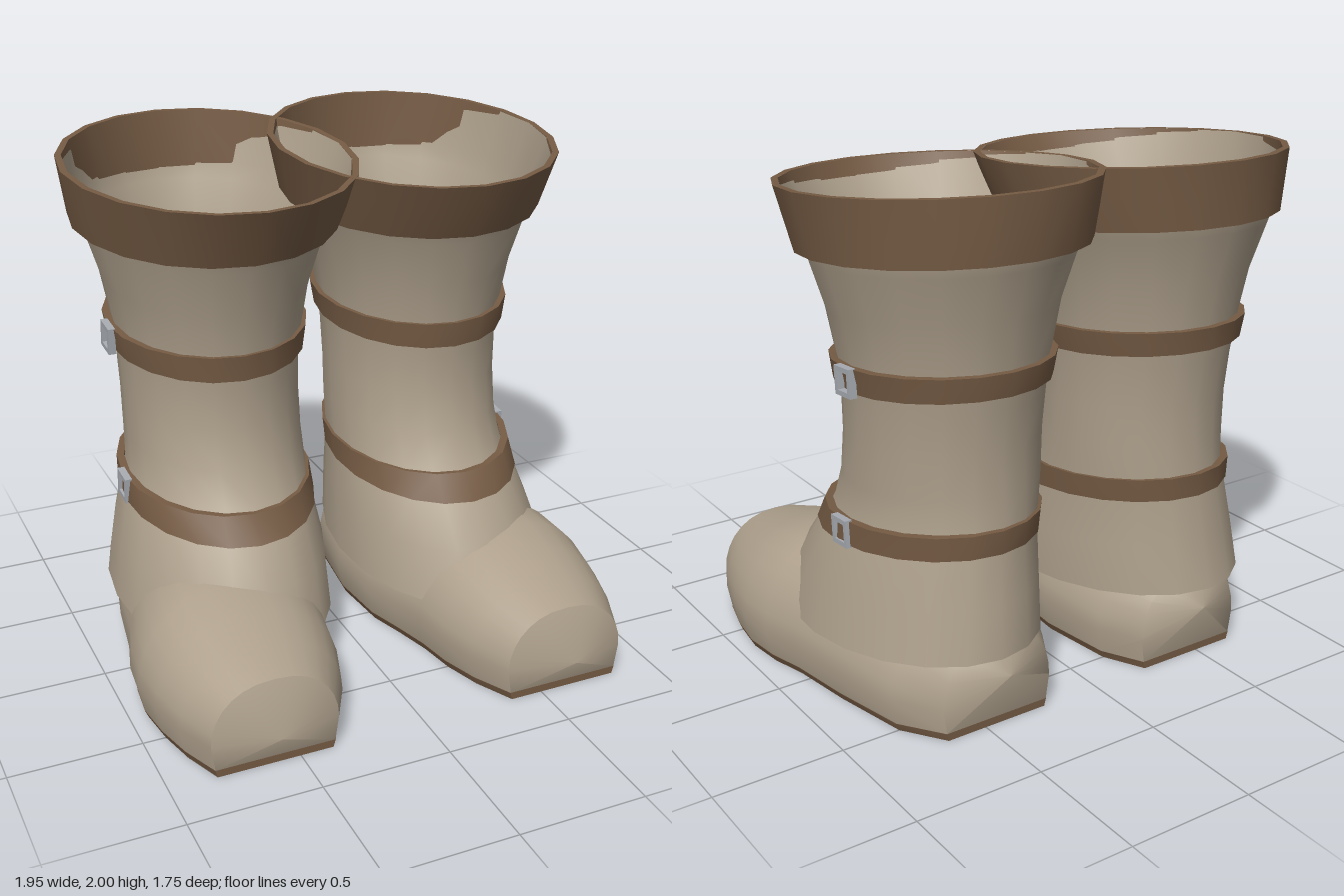
import * as THREE from 'three';
import { toCreasedNormals } from 'three/addons/utils/BufferGeometryUtils.js';

const SIDES = 20;

// Skin a list of closed rings, each an array of [x, y, z]
function loft(rings) {
  const n = rings[0].length, index = [];
  for (let i = 0; i < rings.length - 1; i++) {
    for (let j = 0; j < n; j++) {
      const a = i * n + j, b = i * n + (j + 1) % n;
      index.push(a, b, b + n, a, b + n, a + n);
    }
  }
  const geo = new THREE.BufferGeometry();
  geo.setAttribute('position', new THREE.Float32BufferAttribute(rings.flat(2), 3));
  geo.setIndex(index);
  return toCreasedNormals(geo, 0.7);
}

// Tilted ellipse: centre x, half width, front z and y, back z and y
function ring([cx, rx, zf, yf, zb, yb], inset = 0) {
  return Array.from({ length: SIDES }, (_, i) => {
    const a = (i / SIDES) * Math.PI * 2, c = Math.cos(a);
    return [
      cx + (rx - inset) * Math.sin(a),
      (yf + yb) / 2 + ((yf - yb) / 2) * c,
      (zf + zb) / 2 + ((zf - zb) / 2 - inset) * c,
    ];
  });
}

// Solid band between two tilted ellipses
const band = (low, high, t) =>
  loft([ring(low, t), ring(low), ring(high), ring(high, t), ring(low, t)]);

const collapse = (r, point) => r.map(() => point);

// Foot stations from heel to toe: z, inner x, outer x, top y
const FOOT = [
  [-0.66, 0.22, 0.68, 0.37],
  [-0.5, 0.13, 0.8, 0.42],
  [-0.2, 0.09, 0.87, 0.48],
  [0.05, 0.11, 0.91, 0.51],
  [0.2, 0.155, 0.95, 0.51],
  [0.35, 0.195, 0.965, 0.485],
  [0.5, 0.22, 0.945, 0.44],
  [0.65, 0.27, 0.905, 0.395],
  [0.8, 0.35, 0.84, 0.35],
];

function footSection([z, inner, outer, top]) {
  const c = (inner + outer) / 2, h = (outer - inner) / 2, pts = [[c + h * 0.94, 0.03, z]];
  for (let i = 0; i <= 14; i++) {
    const a = (i / 14) * Math.PI;
    const x = Math.sign(Math.cos(a)) * Math.abs(Math.cos(a)) ** 0.85;
    pts.push([c + h * x, 0.13 + (top - 0.13) * Math.sin(a), z]);
  }
  pts.push([c - h * 0.94, 0.03, z]);
  return pts;
}

function soleSection([z, inner, outer]) {
  const c = (inner + outer) / 2, h = (outer - inner) / 2;
  return [[-0.945, 0.03], [-0.91, 0], [0.91, 0], [0.945, 0.03]].map(([x, y]) => [c + h * x, y, z]);
}

// Shaft from the skirt around the ankle up to the mouth
const SHAFT = [
  [0.48, 0.42, 0.5, 0.22, -0.74, 0.31],
  [0.465, 0.4, 0.42, 0.44, -0.71, 0.5],
  [0.45, 0.365, 0.29, 0.61, -0.685, 0.68],
  [0.435, 0.347, 0.21, 0.71, -0.675, 0.78],
  [0.433, 0.345, 0.145, 0.84, -0.67, 0.9],
  [0.433, 0.345, 0.115, 1.0, -0.67, 1.06],
  [0.433, 0.35, 0.115, 1.15, -0.69, 1.22],
  [0.433, 0.365, 0.135, 1.3, -0.715, 1.37],
  [0.435, 0.395, 0.165, 1.46, -0.75, 1.55],
  [0.435, 0.45, 0.225, 1.64, -0.81, 1.73],
  [0.43, 0.475, 0.255, 1.72, -0.835, 1.8],
  [0.42, 0.53, 0.36, 1.9, -0.85, 2.0],
];

const STRAPS = [
  { name: 'upperStrap', low: [0.437, 0.375, 0.14, 1.2, -0.725, 1.28], high: [0.437, 0.39, 0.15, 1.3, -0.74, 1.37] },
  { name: 'lowerStrap', low: [0.45, 0.375, 0.31, 0.6, -0.69, 0.69], high: [0.447, 0.372, 0.24, 0.7, -0.695, 0.78] },
];

// Square buckle frame facing +x
function buckleGeometry() {
  const square = (path, s) =>
    path.moveTo(-s, -s).lineTo(s, -s).lineTo(s, s).lineTo(-s, s).closePath();
  const shape = square(new THREE.Shape(), 0.052);
  shape.holes.push(square(new THREE.Path(), 0.034));
  return new THREE.ExtrudeGeometry(shape, { depth: 0.028, bevelEnabled: false }).rotateY(Math.PI / 2);
}

export function createModel() {
  const leather = new THREE.MeshStandardMaterial({ color: 0xaea08c });
  const shaftLeather = new THREE.MeshStandardMaterial({ color: 0xaea08c, side: THREE.DoubleSide });
  leather.name = 'paleLeather';
  shaftLeather.name = 'paleLeatherOpen';
  const brown = new THREE.MeshStandardMaterial({ color: 0x755b44 });
  brown.name = 'brownLeather';
  const metal = new THREE.MeshStandardMaterial({ color: 0xa8acb2 });
  metal.name = 'buckleMetal';

  function createBoot(name) {
    const boot = new THREE.Group();
    boot.name = name;
    const add = (part, geo, mat) => {
      const mesh = new THREE.Mesh(geo, mat);
      mesh.name = part;
      boot.add(mesh);
      return mesh;
    };

    // Foot with pointed heel and toe caps
    const foot = FOOT.map(footSection);
    add('foot', loft([
      collapse(foot[0], [0.45, 0.24, -0.75]),
      ...foot,
      collapse(foot[0], [0.6, 0.15, 0.88]),
    ]), leather);

    // Sole
    const sole = FOOT.map(soleSection);
    add('sole', loft([
      collapse(sole[0], [0.45, 0.015, -0.66]),
      ...sole,
      collapse(sole[0], [0.595, 0.015, 0.8]),
    ]), brown);

    // Shaft and cuff
    add('shaft', loft(SHAFT.map((r) => ring(r))), shaftLeather);
    add('cuff', band([0.43, 0.505, 0.27, 1.68, -0.85, 1.77], [0.42, 0.555, 0.38, 1.9, -0.87, 2.0], 0.025), brown);

    // Straps and buckles
    for (const s of STRAPS) add(s.name, band(s.low, s.high, 0.03), brown);
    for (const [part, x, y, z] of [['upperBuckle', 0.812, 1.285, -0.29], ['lowerBuckle', 0.803, 0.692, -0.21]]) {
      const buckle = add(part, buckleGeometry(), metal);
      buckle.position.set(x, y, z);
      buckle.rotation.x = 0.08;
    }
    return boot;
  }

  // Mirrored pair
  const group = new THREE.Group();
  group.name = 'boots';
  const right = createBoot('rightBoot');
  right.scale.x = -1;
  group.add(createBoot('leftBoot'), right);
  return group;
}
